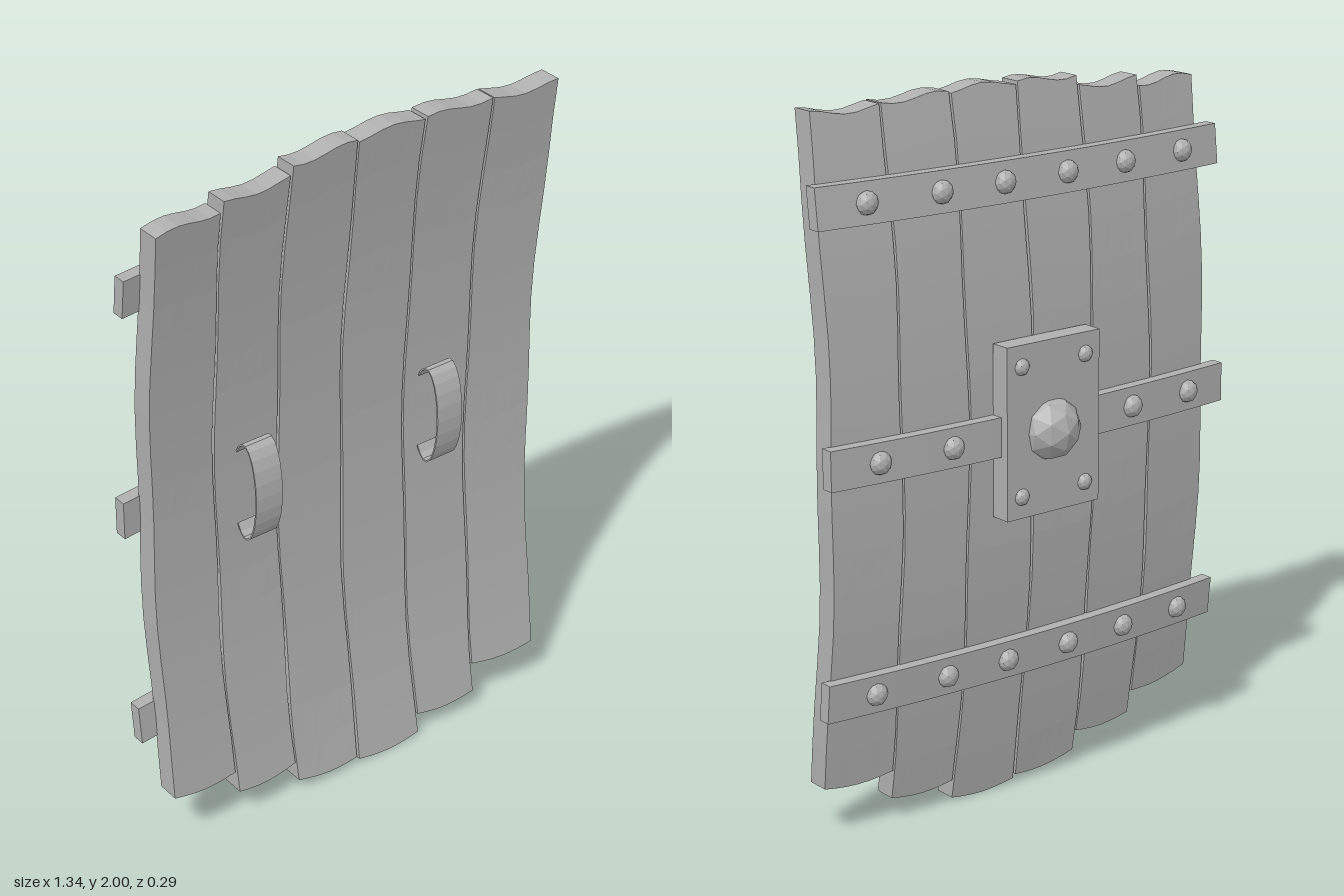
import * as THREE from 'three';

const grey = new THREE.MeshStandardMaterial({ color: 0xb0b0b0 });
grey.name = 'plain grey';

// Back surface of the bowed shield board
const backZ = (x, y) =>
  -0.02 + 0.036 * (x / 0.67) ** 2 + 0.075 * ((y - 1.05) / 0.95) ** 2;

// Faceted mesh: split the faces and give each its own normal
function addMesh(parent, name, geometry) {
  const flat = geometry.index ? geometry.toNonIndexed() : geometry;
  flat.computeVertexNormals();
  const mesh = new THREE.Mesh(flat, grey);
  mesh.name = name;
  parent.add(mesh);
  return mesh;
}

// Move every vertex by a rule that returns the new [x, y, z]
function bend(geometry, rule) {
  const p = geometry.attributes.position;
  for (let i = 0; i < p.count; i++) {
    p.setXYZ(i, ...rule(p.getX(i), p.getY(i), p.getZ(i)));
  }
  return geometry;
}

// One board with worn edges: u and v run over its width and height
function plank(x0, x1, bottomL, bottomR, top, seed) {
  const mid = (x0 + x1) / 2;
  const slope = 2 * 0.036 * mid / 0.67 ** 2;
  return bend(new THREE.BoxGeometry(1, 1, 1, 6, 16, 1), (u, v, w) => {
    const s = u + 0.5, t = v + 0.5;
    const low = bottomL + (bottomR - bottomL) * s - 0.012 * Math.sin(Math.PI * s);
    const high = top + 0.009 * Math.sin(s * 5.5 + seed * 1.7);
    const y = low + (high - low) * t;
    const worn = 0.004 * Math.sin(t * 17 + seed * 2.3 + Math.sign(u)) * Math.abs(u) * 2;
    const x = x0 + (x1 - x0) * s + worn;
    const z = backZ(mid, y) + slope * (x - mid) + (w + 0.5) * 0.065;
    return [x, Math.max(0, y), z];
  });
}

function strap(y0) {
  return bend(new THREE.BoxGeometry(1.34, 0.11, 0.037, 14, 1, 1), (x, y, z) =>
    [x, y0 + y, backZ(x, y0 + y) + z - 0.0155]);
}

function rivet(parent, name, x, y, z, r) {
  const m = addMesh(parent, name, new THREE.IcosahedronGeometry(r, 1));
  m.position.set(x, y, z);
  m.scale.z = 0.8;
}

// Thin curled band, its profile running around part of an ellipse
function handle() {
  const steps = 16, outer = [], inner = [];
  for (let i = 0; i <= steps; i++) {
    const a = THREE.MathUtils.degToRad(-130 + 260 * i / steps);
    outer.push(new THREE.Vector2(0.053 * Math.cos(a), 0.15 * Math.sin(a)));
    inner.unshift(new THREE.Vector2(0.048 * Math.cos(a), 0.145 * Math.sin(a)));
  }
  const g = new THREE.ExtrudeGeometry(new THREE.Shape([...outer, ...inner]),
    { depth: 0.085, bevelEnabled: false });
  g.translate(0, 0, -0.0425);
  return g.rotateY(-Math.PI / 2);
}

export function createModel() {
  const shield = new THREE.Group();
  shield.name = 'woodenShield';

  // Six boards: left edge, right edge, bottom corners, top
  [
    [-0.62, -0.415, 0.2, 0.175, 1.935],
    [-0.408, -0.205, 0.108, 0.105, 1.95],
    [-0.198, 0.009, 0.045, 0.025, 1.985],
    [0.016, 0.222, 0.015, 0.013, 1.99],
    [0.228, 0.432, 0.07, 0.068, 1.983],
    [0.438, 0.645, 0.155, 0.152, 1.972],
  ].forEach((b, i) => addMesh(shield, 'plank' + (i + 1), plank(...b, i)));

  // Straps across the back, with a rivet on each board
  [['upper', 1.745], ['middle', 1.07], ['lower', 0.42]].forEach(([name, y]) => {
    const group = new THREE.Group();
    group.name = name + 'Strap';
    shield.add(group);
    addMesh(group, 'strapBar', strap(y));
    for (const x of [-0.53, -0.315, -0.11, 0.1, 0.3, 0.525]) {
      if (name === 'middle' && Math.abs(x) < 0.2) continue;
      rivet(group, 'strapRivet', x, y, backZ(x, y) - 0.034, 0.032);
    }
  });

  // Central plate with corner rivets and a domed boss
  const boss = new THREE.Group();
  boss.name = 'bossPlate';
  boss.position.set(-0.012, 1.08, 0);
  shield.add(boss);
  addMesh(boss, 'plate', new THREE.BoxGeometry(0.315, 0.48, 0.06)).position.z = -0.047;
  for (const x of [-0.108, 0.108]) {
    for (const y of [-0.18, 0.18]) rivet(boss, 'plateRivet', x, y, -0.075, 0.024);
  }
  const dome = addMesh(boss, 'dome', new THREE.IcosahedronGeometry(0.092, 1));
  dome.position.set(0, -0.01, -0.05);

  // Two grips on the front
  for (const [name, x] of [['leftHandle', 0.31], ['rightHandle', -0.298]]) {
    addMesh(shield, name, handle()).position.set(x, 1.06, 0.09);
  }
  return shield;
}
